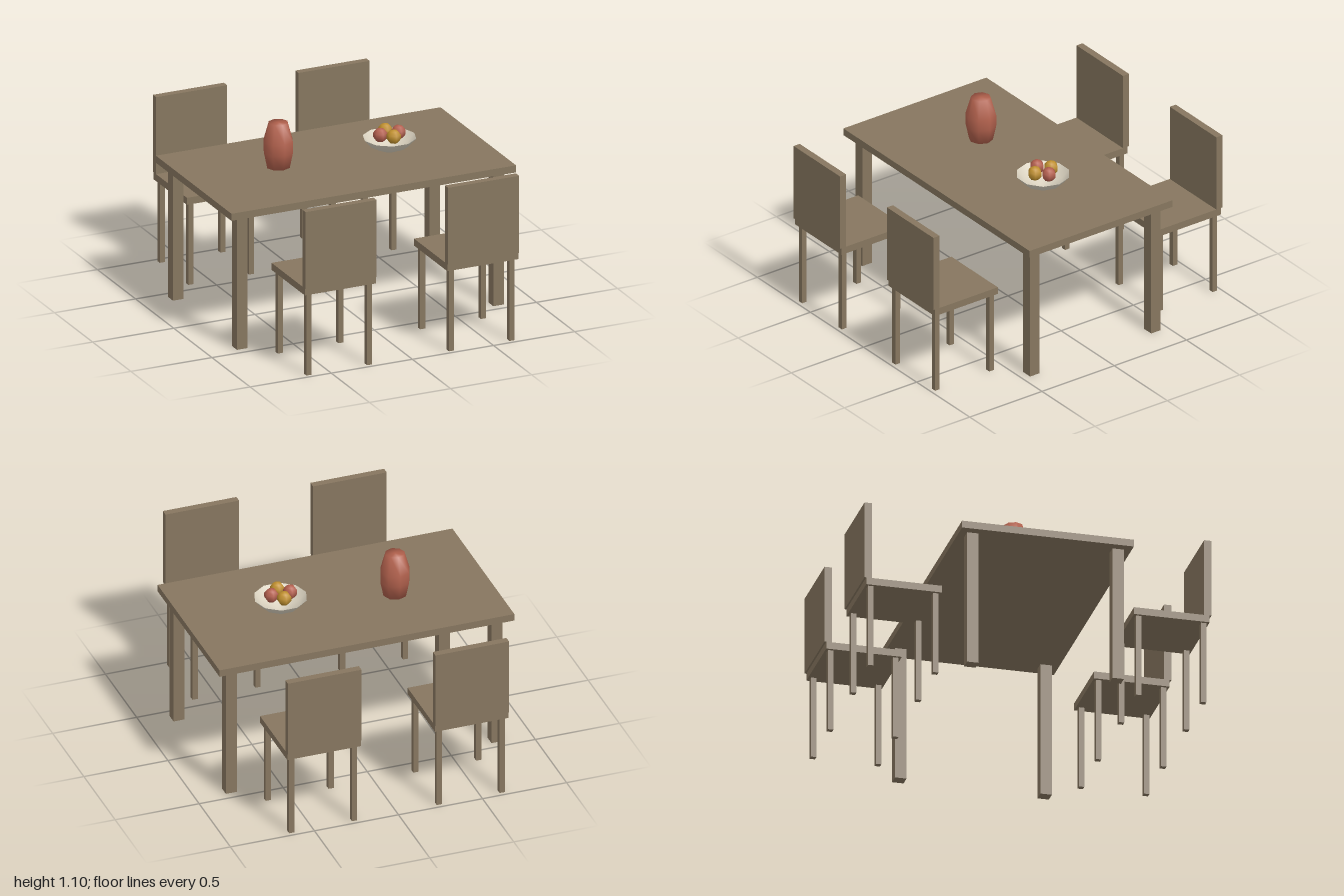
import * as THREE from 'three';

const material = (name, color, extra = {}) => {
  const m = new THREE.MeshStandardMaterial({ color, ...extra });
  m.name = name;
  return m;
};

export function createModel() {
  const wood = material('brown wood', 0x86765f);
  const clay = material('terracotta', 0xb0604c);
  const ceramic = material('cream ceramic', 0xd8d0be, { side: THREE.DoubleSide });
  const orange = material('golden fruit', 0xc0902f);
  const red = material('red fruit', 0xb45f4e);

  const add = (parent, name, geometry, mat, x, y, z) => {
    const mesh = new THREE.Mesh(geometry, mat);
    mesh.name = name;
    mesh.position.set(x, y, z);
    parent.add(mesh);
    return mesh;
  };
  const box = (parent, name, w, h, d, x, y, z) =>
    add(parent, name, new THREE.BoxGeometry(w, h, d), wood, x, y, z);
  const group = (parent, name) => {
    const g = new THREE.Group();
    g.name = name;
    parent.add(g);
    return g;
  };
  const lathe = (points, sides) =>
    new THREE.LatheGeometry(points.map(([r, y]) => new THREE.Vector2(r, y)), sides);

  const model = new THREE.Group();
  model.name = 'diningSet';

  // Table
  const table = group(model, 'table');
  box(table, 'tableTop', 1.754, 0.042, 0.99, 0, 0.817, 0);
  for (const sx of [-1, 1]) for (const sz of [-1, 1])
    box(table, 'tableLeg', 0.066, 0.796, 0.066, sx * 0.79, 0.398, sz * 0.419);

  // Four chairs, two on each long side, backs facing outward
  for (const side of [-1, 1]) for (const sx of [-1, 1]) {
    const chair = group(model, 'chair');
    chair.position.x = sx * 0.439;
    chair.rotation.y = side > 0 ? 0 : Math.PI;
    box(chair, 'seat', 0.438, 0.042, 0.436, 0, 0.508, 0.772);
    box(chair, 'backrest', 0.438, 0.46, 0.042, 0, 0.759, 0.979);
    for (const lx of [-1, 1]) for (const z of [0.585, 0.96])
      box(chair, 'chairLeg', 0.031, 0.488, 0.031, lx * 0.187, 0.244, z);
  }

  // Closed vase
  add(model, 'vase', lathe([[0, 0], [0.068, 0], [0.087, 0.09], [0.087, 0.155],
    [0.056, 0.264], [0, 0.264]], 8), clay, -0.33, 0.838, -0.055);

  // Bowl, open at the top
  const bowl = add(model, 'bowl', lathe([[0, 0], [0.03, 0.004], [0.11, 0.04], [0.152, 0.087]], 10),
    ceramic, 0.33, 0.838, 0);
  bowl.rotation.y = Math.PI / 2;

  // Fruit
  const fruit = new THREE.SphereGeometry(0.042, 6, 5);
  for (const s of [-1, 1]) {
    add(model, 'redFruit', fruit, red, 0.329 + s * 0.056, 0.946, 0).rotation.y = Math.PI / 6;
    add(model, 'goldenFruit', fruit, orange, 0.329, 0.946, s * 0.056).rotation.y = Math.PI / 6;
  }
  return model;
}
